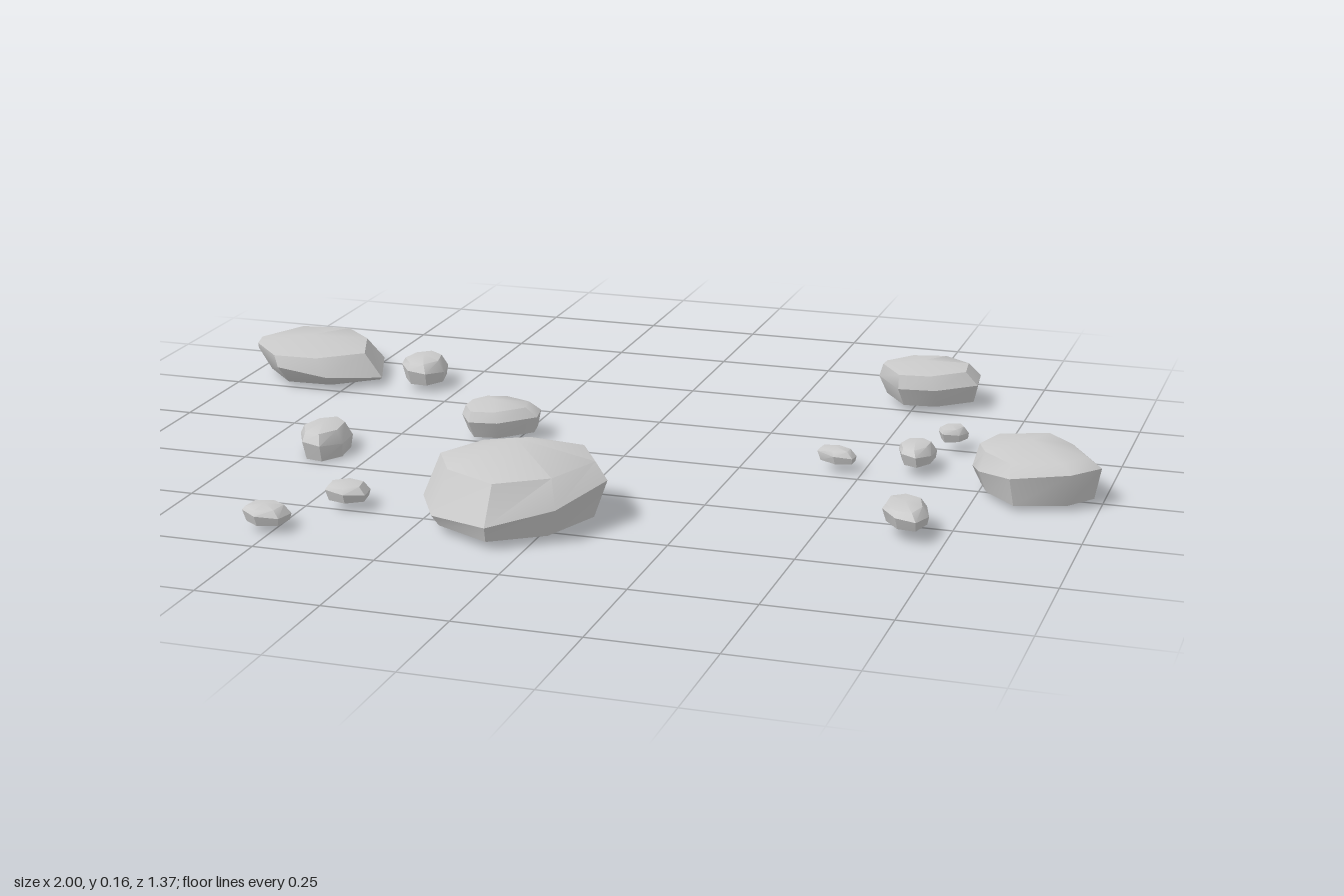
import * as THREE from 'three';
import { toCreasedNormals } from 'three/addons/utils/BufferGeometryUtils.js';

const material = new THREE.MeshStandardMaterial({ color: 0xcccccc });

// A faceted stone: flat base ring, widest (belly) ring, rim ring and a shallow domed cap.
// outline: [x, z] corners of the belly seen from above
// y: heights of [base, belly, rim, peak]; tilt: belly slope along x and z
// shift: offset of the rim; the base moves the other way
function stone(name, outline, y, { tilt = [0, 0], shift = [0, 0], rim = 0.84, base = 0.88 } = {}) {
  const n = outline.length;
  const cx = outline.reduce((s, p) => s + p[0], 0) / n;
  const cz = outline.reduce((s, p) => s + p[1], 0) / n;
  const ring = (scale, k, height) => outline.map(([x, z]) => {
    const dx = x - cx, dz = z - cz;
    return [cx + dx * scale + shift[0] * k, height(dx, dz), cz + dz * scale + shift[1] * k];
  });
  const gap = (y[2] - y[0]) * 0.12;
  const rings = [
    ring(base, -0.6, () => y[0]),
    ring(1, 0, (dx, dz) => THREE.MathUtils.clamp(y[1] + tilt[0] * dx + tilt[1] * dz, y[0] + gap, y[2] - gap)),
    ring(rim, 1, () => y[2]),
  ];
  const bottom = [cx - shift[0] * 0.6, y[0], cz - shift[1] * 0.6];
  const peak = [cx + shift[0], y[3], cz + shift[1]];
  const v = [];
  for (let i = 0; i < n; i++) {
    const j = (i + 1) % n;
    for (let r = 0; r < 2; r++) {
      const lo = rings[r], hi = rings[r + 1];
      v.push(...lo[i], ...hi[i], ...lo[j], ...lo[j], ...hi[i], ...hi[j]);
    }
    v.push(...peak, ...rings[2][j], ...rings[2][i]);
    v.push(...bottom, ...rings[0][i], ...rings[0][j]);
  }
  const geometry = new THREE.BufferGeometry();
  geometry.setAttribute('position', new THREE.Float32BufferAttribute(v, 3));
  const mesh = new THREE.Mesh(toCreasedNormals(geometry, 0.7), material);
  mesh.name = name;
  return mesh;
}

// Slightly uneven oval outline for the small stones
function oval(x, z, halfX, halfZ, turn, sides) {
  return Array.from({ length: sides }, (_, i) => {
    const a = (i / sides) * Math.PI * 2 + 0.35;
    const k = 1 + 0.05 * Math.sin(i * 2.4 + x * 9);
    const px = Math.cos(a) * halfX * k, pz = Math.sin(a) * halfZ * k;
    const c = Math.cos(turn), s = Math.sin(turn);
    return [x + px * c - pz * s, z + px * s + pz * c];
  });
}

export function createModel() {
  const group = new THREE.Group();
  group.name = 'scatteredStones';

  // Large stones
  group.add(
    stone('frontBoulder',
      [[-0.265, 0.46], [-0.205, 0.335], [-0.105, 0.28], [0.035, 0.30], [0.1, 0.41], [0.045, 0.56], [-0.07, 0.64], [-0.205, 0.57]],
      [0.015, 0.06, 0.118, 0.16], { tilt: [0.13, -0.08], shift: [0, -0.02] }),
    stone('backRightBoulder',
      [[-1, -0.39], [-0.94, -0.52], [-0.815, -0.54], [-0.73, -0.46], [-0.68, -0.325], [-0.78, -0.24], [-0.895, -0.235], [-0.985, -0.33]],
      [0.01, 0.042, 0.072, 0.09], { tilt: [-0.14, 0], shift: [-0.018, 0.008], rim: 0.87 }),
    stone('leftBoulder',
      [[0.76, -0.12], [0.875, -0.165], [0.945, -0.09], [0.995, 0], [0.945, 0.07], [0.83, 0.105], [0.755, 0.03], [0.73, -0.03]],
      [0.01, 0.057, 0.09, 0.11], { tilt: [0.1, 0.1], shift: [-0.008, -0.008] }),
    stone('backLeftBoulder',
      [[0.555, -0.69], [0.625, -0.64], [0.635, -0.555], [0.555, -0.485], [0.475, -0.475], [0.412, -0.565], [0.415, -0.6], [0.47, -0.67]],
      [0.015, 0.055, 0.084, 0.096], { shift: [-0.008, 0.006] }),
    stone('middleStone',
      [[-0.295, -0.135], [-0.22, -0.105], [-0.21, -0.05], [-0.275, 0.02], [-0.335, 0.03], [-0.37, -0.025], [-0.37, -0.08], [-0.345, -0.12]],
      [0.015, 0.05, 0.07, 0.08], { shift: [-0.006, 0.004], rim: 0.8 }),
  );

  // Small stones: x, z, half sizes, turn, sides, base and peak heights
  const pebbles = [
    [-0.59, -0.365, 0.05, 0.075, -0.15, 7, 0.015, 0.07],
    [-0.605, 0.16, 0.05, 0.084, -0.05, 7, 0, 0.066],
    [-0.42, 0.475, 0.045, 0.045, 0, 6, 0.018, 0.052],
    [-0.52, 0.64, 0.046, 0.047, 0.3, 6, 0.015, 0.05],
    [0.645, -0.255, 0.028, 0.04, 0.5, 6, 0.025, 0.055],
    [0.6, -0.105, 0.038, 0.06, 0.05, 7, 0.02, 0.06],
    [0.445, -0.05, 0.046, 0.03, 0.3, 6, 0.02, 0.05],
    [0.665, 0.285, 0.046, 0.077, -0.25, 7, 0.025, 0.065],
  ];
  pebbles.forEach(([x, z, hx, hz, turn, sides, lo, hi], i) => {
    const h = hi - lo;
    group.add(stone(`pebble${i + 1}`, oval(x, z, hx, hz, turn, sides),
      [lo, lo + h * 0.5, lo + h * 0.85, hi], { tilt: [-0.1, 0.05], shift: [-0.004, 0], rim: 0.78 }));
  });
  return group;
}
